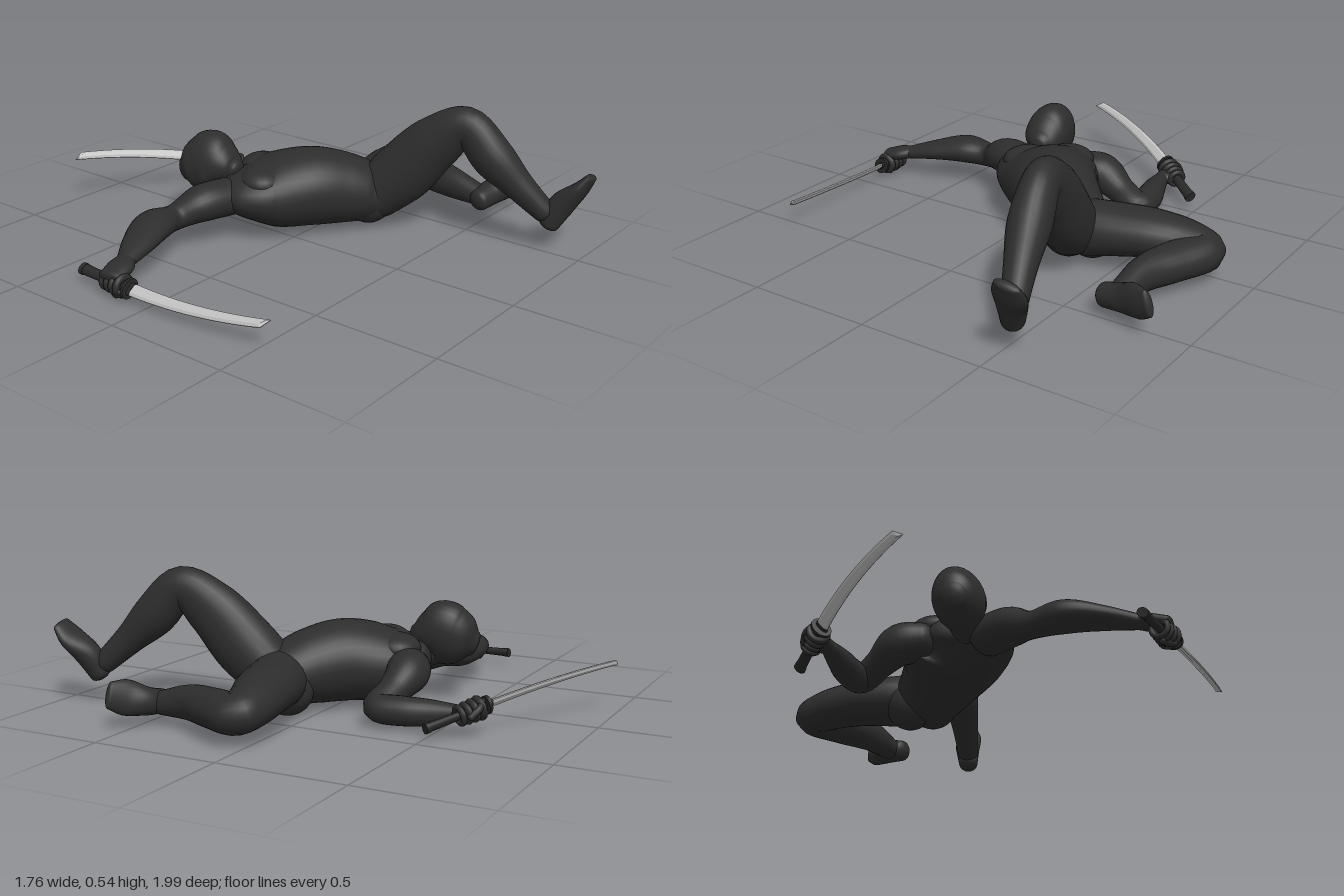
import * as THREE from 'three';

const suitMat = new THREE.MeshStandardMaterial({ color: 0x2d2d2d });
suitMat.name = 'charcoal suit';
const hiltMat = new THREE.MeshStandardMaterial({ color: 0x292929 });
hiltMat.name = 'dark hilt';
const steelMat = new THREE.MeshStandardMaterial({ color: 0xc2c2c2 });
steelMat.name = 'steel';

const V = (x, y, z) => new THREE.Vector3(x, y, z);

// Smooth body along sections [x, y, z, half width, half height], with domed ends
function loft(name, sections, up = V(0, 1, 0), dome = 0.6, sides = 24) {
  const path = new THREE.CatmullRomCurve3(sections.map(s => V(s[0], s[1], s[2])));
  const size = new THREE.CatmullRomCurve3(sections.map(s => V(s[3], s[4], 0)), false, 'catmullrom', 0.5);
  const steps = (sections.length - 1) * 7;
  const rings = [];
  const addRing = (u, bend) => {
    const t = path.getTangent(u), r = size.getPoint(u);
    const side = V().crossVectors(up, t).normalize();
    const b = V().crossVectors(t, side);
    const c = path.getPoint(u).addScaledVector(t, Math.sin(bend) * dome * Math.min(r.x, r.y));
    rings.push({ c, side, b, ra: r.x * Math.cos(bend), rb: r.y * Math.cos(bend) });
  };
  for (let k = 4; k >= 1; k--) addRing(0, -k * 0.37);
  for (let i = 0; i <= steps; i++) addRing(i / steps, 0);
  for (let k = 1; k <= 4; k++) addRing(1, k * 0.37);

  const pos = [], idx = [];
  for (const { c, side, b, ra, rb } of rings) {
    for (let j = 0; j < sides; j++) {
      const a = (j / sides) * Math.PI * 2;
      const p = c.clone().addScaledVector(side, ra * Math.cos(a)).addScaledVector(b, rb * Math.sin(a));
      pos.push(p.x, p.y, p.z);
    }
  }
  for (let i = 0; i < rings.length - 1; i++) {
    for (let j = 0; j < sides; j++) {
      const k = (j + 1) % sides, a = i * sides, n = a + sides;
      idx.push(a + j, a + k, n + j, a + k, n + k, n + j);
    }
  }
  const last = (rings.length - 1) * sides, p0 = rings.length * sides;
  for (const r of [rings[0], rings[rings.length - 1]]) pos.push(r.c.x, r.c.y, r.c.z);
  for (let j = 0; j < sides; j++) {
    const k = (j + 1) % sides;
    idx.push(p0, k, j, p0 + 1, last + j, last + k);
  }
  const geo = new THREE.BufferGeometry();
  geo.setAttribute('position', new THREE.Float32BufferAttribute(pos, 3));
  geo.setIndex(idx);
  geo.computeVertexNormals();
  const mesh = new THREE.Mesh(geo, suitMat);
  mesh.name = name;
  return mesh;
}

function muscle(name, x, y, z, sx, sy, sz, turn = 0) {
  const m = new THREE.Mesh(new THREE.SphereGeometry(1, 24, 16), suitMat);
  m.position.set(x, y, z);
  m.scale.set(sx, sy, sz);
  m.rotation.y = turn;
  m.name = name;
  return m;
}

// Curved sword with gripping fingers; local +x runs to the tip, +y is the cutting edge
function swordInHand(name, guard, tip, edge) {
  const g = new THREE.Group();
  g.name = name;
  const L = guard.distanceTo(tip);
  const bow = s => 0.21 * s * (L - s);

  // Blade with a slanted point and ground faces
  const shape = new THREE.Shape();
  const n = 16, half = 0.025;
  shape.moveTo(0, bow(0) - half);
  for (let i = 1; i <= n; i++) shape.lineTo((i / n) * L, bow((i / n) * L) - half * (1 - 0.35 * i / n));
  for (let i = n - 1; i >= 0; i--) {
    const s = (i / n) * L * 1.02;
    shape.lineTo(s, bow(s) + half * (1 - 0.35 * i / n));
  }
  const bladeGeo = new THREE.ExtrudeGeometry(shape, {
    depth: 0.004, bevelThickness: 0.006, bevelSize: 0.01, bevelOffset: -0.01, bevelSegments: 1,
  });
  bladeGeo.translate(0, 0, -0.002);
  const blade = new THREE.Mesh(bladeGeo, steelMat);
  blade.name = 'blade';
  g.add(blade);

  // Hilt follows the blade's curve backwards
  const hilt = new THREE.Group();
  hilt.name = 'hilt';
  hilt.rotation.z = Math.atan(0.21 * L);
  const part = (label, rFront, rBack, len, x, flat) => {
    const m = new THREE.Mesh(new THREE.CylinderGeometry(rFront, rBack, len, 20), hiltMat);
    m.rotation.z = -Math.PI / 2;
    m.scale.z = flat;
    m.position.x = x;
    m.name = label;
    hilt.add(m);
  };
  part('guard', 0.041, 0.041, 0.012, 0, 0.8);
  part('collar', 0.026, 0.027, 0.02, 0.01, 0.45);
  part('handle', 0.017, 0.022, 0.25, -0.125, 0.75);
  part('pommel', 0.024, 0.024, 0.018, -0.246, 0.75);

  // Four curled fingers and a thumb
  for (let i = 0; i < 4; i++) {
    const f = new THREE.Mesh(new THREE.TorusGeometry(0.033 - i * 0.001, 0.014 - i * 0.001, 10, 20), suitMat);
    f.rotation.y = Math.PI / 2;
    f.position.x = -0.032 - i * 0.027;
    f.name = 'finger';
    hilt.add(f);
  }
  hilt.add(loft('thumb', [[-0.09, 0.02, 0.03, 0.014, 0.014], [-0.05, 0.035, 0.018, 0.013, 0.013],
    [-0.018, 0.03, -0.01, 0.01, 0.01]], V(0, 0, 1), 0.8, 12));
  g.add(hilt);

  const d = V().subVectors(tip, guard).normalize();
  const w = edge.clone().addScaledVector(d, -edge.dot(d)).normalize();
  g.quaternion.setFromRotationMatrix(new THREE.Matrix4().makeBasis(d, w, V().crossVectors(d, w)));
  g.position.copy(guard);
  return g;
}

export function createModel() {
  const model = new THREE.Group();
  model.name = 'reclining swordsman';

  // Head tilted to one side, from skull to chin; neck and trunk
  model.add(
    loft('head', [[-0.14, 0.238, -0.45, 0.05, 0.052], [-0.13, 0.25, -0.42, 0.08, 0.096],
      [-0.113, 0.266, -0.375, 0.094, 0.122], [-0.102, 0.282, -0.33, 0.096, 0.128], [-0.094, 0.277, -0.28, 0.086, 0.09],
      [-0.088, 0.27, -0.24, 0.064, 0.053], [-0.086, 0.268, -0.222, 0.04, 0.035]],
      V(0.22, 1, 0), 0.4, 32),
    loft('neck', [[-0.115, 0.22, -0.33, 0.06, 0.06], [-0.09, 0.205, -0.26, 0.07, 0.07], [-0.05, 0.2, -0.18, 0.1, 0.07]]),
    loft('torso', [[-0.07, 0.2, -0.27, 0.12, 0.06], [-0.04, 0.183, -0.2, 0.195, 0.107], [0.03, 0.174, -0.13, 0.2, 0.146],
      [0.13, 0.184, -0.02, 0.175, 0.159], [0.22, 0.171, 0.06, 0.155, 0.148], [0.3, 0.15, 0.13, 0.14, 0.125],
      [0.34, 0.14, 0.18, 0.115, 0.1]], V(0, 1, 0), 0.5, 36),
    muscle('rightChest', -0.06, 0.24, -0.115, 0.105, 0.058, 0.095, 0.62),
    muscle('leftChest', 0.065, 0.24, -0.215, 0.105, 0.058, 0.095, 0.62),
    muscle('rightButtock', 0.3, 0.115, 0.15, 0.1, 0.098, 0.1),
    muscle('leftButtock', 0.37, 0.105, 0.09, 0.1, 0.1, 0.1));

  // Arms and palms
  model.add(
    loft('rightArm', [[-0.15, 0.175, -0.215, 0.09, 0.075], [-0.27, 0.172, -0.25, 0.083, 0.073],
      [-0.38, 0.135, -0.295, 0.056, 0.05], [-0.5, 0.143, -0.285, 0.08, 0.057],
      [-0.63, 0.128, -0.235, 0.067, 0.04], [-0.745, 0.105, -0.19, 0.036, 0.027]]),
    loft('rightPalm', [[-0.735, 0.107, -0.195, 0.034, 0.026], [-0.785, 0.1, -0.175, 0.052, 0.028], [-0.845, 0.085, -0.165, 0.05, 0.024]]),
    loft('leftArm', [[0.08, 0.18, -0.275, 0.08, 0.07], [0.17, 0.17, -0.312, 0.083, 0.08],
      [0.27, 0.12, -0.298, 0.06, 0.056], [0.357, 0.08, -0.285, 0.058, 0.054], [0.352, 0.075, -0.38, 0.056, 0.055],
      [0.325, 0.075, -0.48, 0.046, 0.048], [0.305, 0.085, -0.58, 0.03, 0.026]]),
    loft('leftPalm', [[0.305, 0.085, -0.57, 0.03, 0.026], [0.318, 0.09, -0.605, 0.046, 0.028], [0.325, 0.1, -0.635, 0.044, 0.024]]));

  // Right leg, knee raised, and its foot
  model.add(
    loft('rightLeg', [[0.325, 0.14, 0.17, 0.11, 0.11], [0.36, 0.25, 0.28, 0.1, 0.125], [0.393, 0.385, 0.4, 0.083, 0.11],
      [0.425, 0.47, 0.525, 0.068, 0.08], [0.448, 0.36, 0.635, 0.078, 0.085], [0.48, 0.26, 0.735, 0.06, 0.061],
      [0.52, 0.16, 0.835, 0.045, 0.045]]),
    loft('rightFoot', [[0.528, 0.117, 0.852, 0.042, 0.043], [0.552, 0.195, 0.89, 0.053, 0.05],
      [0.58, 0.262, 0.947, 0.064, 0.032], [0.595, 0.313, 0.982, 0.048, 0.018]], V(0, 0.5, -0.85)));

  // Left leg, fallen outward, and its foot
  model.add(
    loft('leftLeg', [[0.36, 0.14, 0.13, 0.11, 0.11], [0.47, 0.145, 0.095, 0.118, 0.1], [0.6, 0.148, 0.058, 0.113, 0.09],
      [0.73, 0.135, 0.028, 0.093, 0.082], [0.81, 0.12, 0.035, 0.08, 0.073], [0.748, 0.11, 0.17, 0.083, 0.072],
      [0.705, 0.105, 0.3, 0.059, 0.066], [0.692, 0.085, 0.44, 0.046, 0.045]]),
    loft('leftFoot', [[0.65, 0.08, 0.468, 0.045, 0.045], [0.73, 0.095, 0.477, 0.053, 0.054],
      [0.8, 0.12, 0.517, 0.066, 0.034], [0.857, 0.138, 0.545, 0.05, 0.018]], V(0, 0, -1)));

  // Swords held in both hands
  model.add(
    swordInHand('rightSword', V(-0.828, 0.055, -0.09), V(-0.79, 0.095, 0.53), V(-0.78, -0.6, 0)),
    swordInHand('leftSword', V(0.275, 0.115, -0.672), V(-0.26, 0.2, -0.998), V(0.42, 0.72, -0.55)));
  return model;
}
